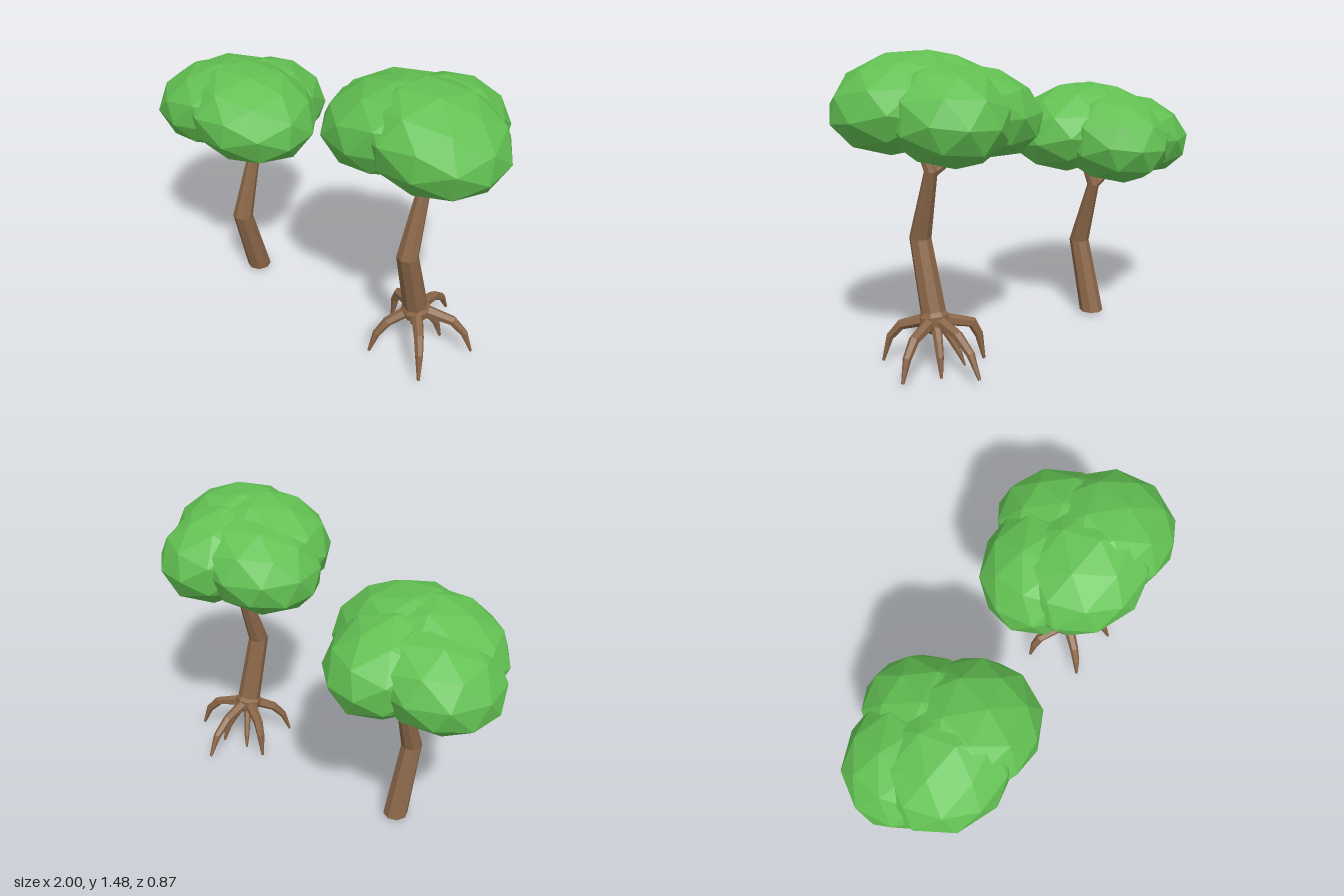
import * as THREE from 'three';

const bark = new THREE.MeshStandardMaterial({ color: 0x8a6648, flatShading: true });
const leaf = new THREE.MeshStandardMaterial({ color: 0x62c052, flatShading: true });

// Faceted tapering limb; each path point is [x, y, z, radius]
function limb(name, path, sides, levelStart = false) {
  const n = path.length - 1;
  const pts = path.map(p => new THREE.Vector3(p[0], p[1], p[2]));
  const up = new THREE.Vector3(0, 1, 0);
  const turns = pts.map((p, i) => {
    const dir = new THREE.Vector3();
    if (i > 0) dir.add(p.clone().sub(pts[i - 1]).normalize());
    if (i < n) dir.add(pts[i + 1].clone().sub(p).normalize());
    if (i === 0 && levelStart) dir.copy(up);
    return new THREE.Quaternion().setFromUnitVectors(up, dir.normalize());
  });
  const geo = new THREE.CylinderGeometry(1, 1, 1, sides, n);
  const pos = geo.attributes.position;
  const v = new THREE.Vector3();
  for (let i = 0; i < pos.count; i++) {
    v.fromBufferAttribute(pos, i);
    const k = Math.round((v.y + 0.5) * n);
    v.setY(0).multiplyScalar(path[k][3]).applyQuaternion(turns[k]).add(pts[k]);
    pos.setXYZ(i, v.x, v.y, v.z);
  }
  geo.computeVertexNormals();
  const mesh = new THREE.Mesh(geo, bark);
  mesh.name = name;
  return mesh;
}

// Squashed leaf clump, tilted so its outer side droops
function clump(name, center, radii, tiltX, tiltZ, spin) {
  const geo = new THREE.IcosahedronGeometry(1.025, 1);
  geo.rotateY(spin).rotateX(spin * 0.6).scale(...radii);
  geo.rotateZ(tiltZ).rotateX(tiltX).translate(...center);
  const mesh = new THREE.Mesh(geo, leaf);
  mesh.name = name;
  return mesh;
}

// Trunk, two branches and crown; origin at the foot of the trunk
function makeTree(name) {
  const tree = new THREE.Group();
  tree.name = name;
  tree.add(
    limb('trunk', [[0, 0, 0, 0.063], [0, 0.385, 0.105, 0.053], [0, 0.72, 0, 0.032],
      [0.03, 0.83, 0.03, 0.023], [0.05, 0.93, 0.05, 0.015]], 8, true),
    limb('sideBranch', [[0, 0.70, 0.005, 0.022], [-0.17, 0.765, 0.05, 0.02],
      [-0.22, 0.82, 0.075, 0.017], [-0.24, 0.92, 0.075, 0.01]], 6),
    clump('frontLeftClump', [0.083, 1.035, 0.08], [0.335, 0.217, 0.312], 0, -0.22, 0.3),
    clump('frontRightClump', [-0.12, 1.033, 0.085], [0.34, 0.212, 0.307], 0, 0.22, 1.1),
    clump('backClump', [0, 0.993, -0.118], [0.275, 0.22, 0.328], -0.22, 0, 2.0),
    clump('rightClump', [-0.215, 0.98, -0.06], [0.325, 0.208, 0.29], -0.06, 0.26, 0.7)
  );
  return tree;
}

// Spreading roots that arch outwards and down to the ground
function makeRoots() {
  const roots = new THREE.Group();
  roots.name = 'roots';
  roots.add(limb('rootCrown', [[0, -0.06, 0, 0.03], [0, -0.02, 0, 0.068],
    [0, 0.025, 0.008, 0.074], [0, 0.052, 0.014, 0.054]], 8));
  // [tip x, tip z, shoulder drop, thickness, tip height, shoulder reach]
  const tips = [
    [0.17, 0.2, 0.03, 0.025, -0.22, 0.64], [0.26, -0.12, 0.03, 0.025, -0.2, 0.64],
    [0.065, -0.14, 0.07, 0.022, -0.225, 0.56], [-0.02, -0.32, 0.025, 0.025, -0.195, 0.53],
    [-0.21, -0.1, 0.025, 0.026, -0.215, 0.76], [-0.14, 0.19, 0.05, 0.024, -0.22, 0.62],
    [-0.09, -0.11, 0.09, 0.017, -0.215, 0.55]
  ];
  for (const [x, z, drop, r, tipY, reach] of tips) {
    const knee = reach * 0.4 + 0.6;
    roots.add(limb('root', [[x * 0.1, 0.01, z * 0.1, r * 1.25], [x * reach, -drop, z * reach, r],
      [x * knee, -drop - 0.065, z * knee, r * 0.8], [x, tipY, z, r * 0.3]], 6));
  }
  return roots;
}

export function createModel() {
  const model = new THREE.Group();
  model.name = 'trees';

  const plainTree = makeTree('plainTree');
  plainTree.position.set(-0.47, 0.02, 0.04);

  const rootedTree = makeTree('rootedTree');
  rootedTree.position.set(0.59, 0.235, 0.01);
  rootedTree.add(makeRoots());

  model.add(plainTree, rootedTree);
  return model;
}
